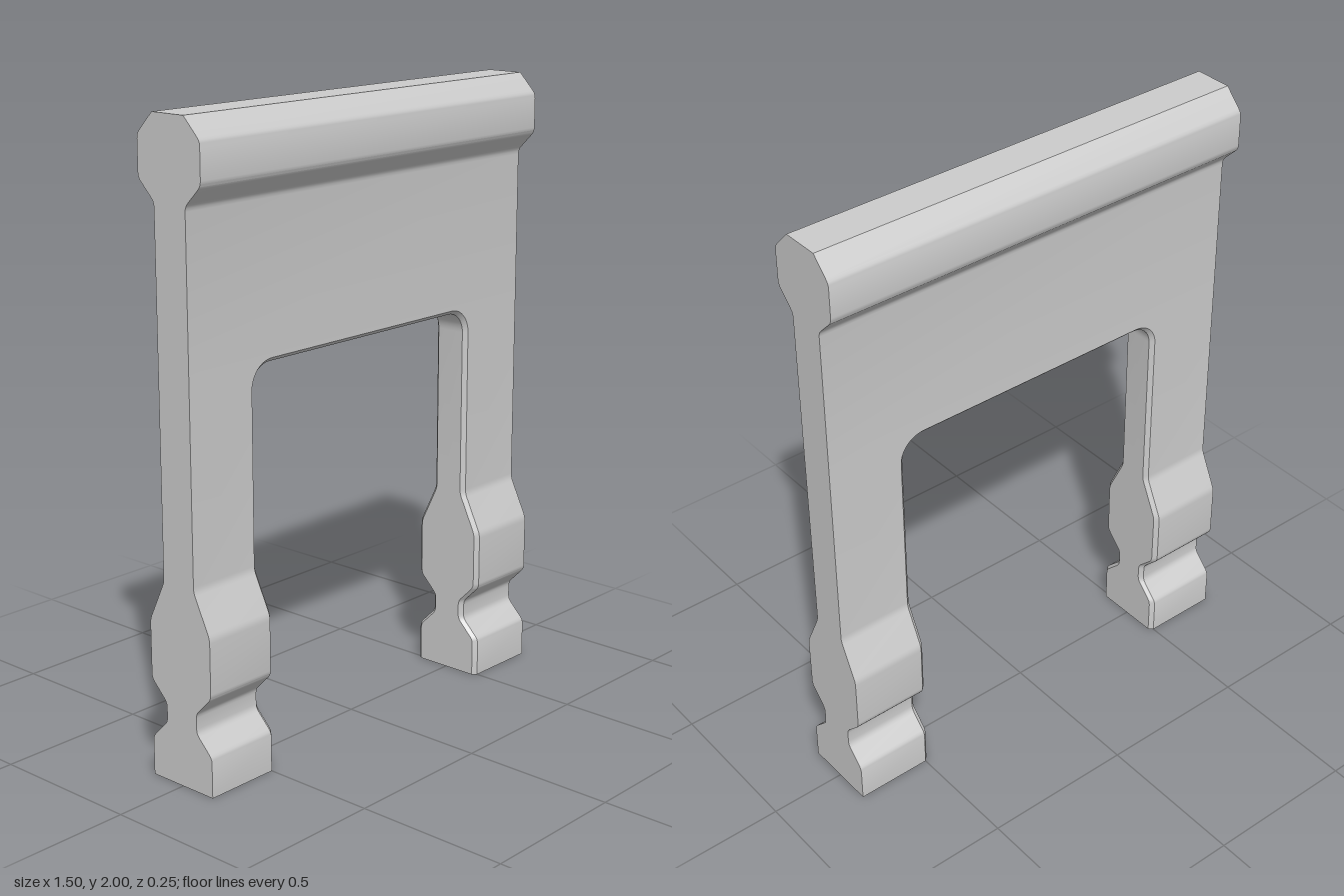
import * as THREE from 'three';
import { mergeGeometries, toCreasedNormals } from 'three/addons/utils/BufferGeometryUtils.js';

const HALF_WIDTH = 0.75, BEVEL = 0.013;
const OPEN_X = 0.5, OPEN_Y = 1.265, RADIUS = 0.085;

// Moulding profile: half depth and height, [z, y], from foot to top rail
const corners = [
  [0.125, 0], [0.125, 0.125], [0.0625, 0.188], [0.0625, 0.25], [0.125, 0.313],
  [0.125, 0.5], [0.0625, 0.63], [0.0625, 1.75], [0.125, 1.813], [0.125, 1.935], [0.0625, 2],
];

// Softens the inner corners of the profile with short curves
function softProfile(points, cut = 0.014, steps = 3) {
  const v = points.map(([z, y]) => new THREE.Vector2(z, y));
  const out = [v[0]];
  for (let i = 1; i < v.length - 1; i++) {
    const toward = (p) => v[i].clone().add(p.clone().sub(v[i]).setLength(cut));
    out.push(...new THREE.QuadraticBezierCurve(toward(v[i - 1]), v[i], toward(v[i + 1])).getPoints(steps));
  }
  out.push(v[v.length - 1]);
  return out;
}

// Surface through rows of points; rows run left to right and stack upward
function grid(rows) {
  const pos = [];
  for (let r = 0; r < rows.length - 1; r++) {
    for (let c = 0; c < rows[r].length - 1; c++) {
      const [a, b, d, e] = [rows[r][c], rows[r][c + 1], rows[r + 1][c + 1], rows[r + 1][c]];
      pos.push(...a, ...b, ...d, ...a, ...d, ...e);
    }
  }
  const g = new THREE.BufferGeometry();
  g.setAttribute('position', new THREE.Float32BufferAttribute(pos, 3));
  return g;
}

const mirrorRow = (row) => row.map(([x, y, z]) => [-x, y, z]).reverse();

// Adds the back half by turning the front half around
function wholeMesh(name, parts) {
  const front = mergeGeometries(parts);
  const back = front.clone().rotateY(Math.PI);
  const mesh = new THREE.Mesh(
    toCreasedNormals(mergeGeometries([front, back]), 0.5),
    new THREE.MeshStandardMaterial({ color: 0xcccccc }),
  );
  mesh.name = name;
  return mesh;
}

export function createModel() {
  const group = new THREE.Group();
  group.name = 'archedPanel';
  const profile = softProfile(corners);
  const springY = OPEN_Y - RADIUS, arcX = OPEN_X - RADIUS;
  const panelDepth = 0.0625;

  // Legs: bevelled inner edge, face and outer side in each row
  const legRow = (xIn, yIn, xFace, y, d) => [
    [xIn, yIn, 0], [xIn, yIn, d - BEVEL], [xFace, y, d], [HALF_WIDTH, y, d], [HALF_WIDTH, y, 0],
  ];
  const legRows = profile.filter((p) => p.y < springY)
    .map((p) => legRow(OPEN_X - BEVEL, p.y, OPEN_X, p.y, p.x));

  // Rounded upper corners of the opening
  const arcSteps = 10;
  for (let i = 0; i <= arcSteps; i++) {
    const a = (i / arcSteps) * Math.PI / 2, c = Math.cos(a), s = Math.sin(a), r = RADIUS - BEVEL;
    legRows.push(legRow(arcX + r * c, springY + r * s, arcX + RADIUS * c, springY + RADIUS * s, panelDepth));
  }
  const soleEdge = legRows[0].slice(1, 4);
  const sole = [soleEdge.map(([x, y]) => [x, y, 0]), soleEdge];
  const legParts = [legRows, sole];
  group.add(wholeMesh('legs', [
    ...legParts.map(grid),
    ...legParts.map((rows) => grid(rows.map(mirrorRow))),
  ]));

  // Header: panel, moulded top rail and both ends
  const w = HALF_WIDTH;
  const headerRow = (y, d) => [[-w, y, 0], [-w, y, d], [w, y, d], [w, y, 0]];
  const headerRows = [headerRow(OPEN_Y, panelDepth),
    ...profile.filter((p) => p.y > OPEN_Y).map((p) => headerRow(p.y, p.x))];
  const topZ = profile[profile.length - 1].x;
  const across = (x, y, z) => [[-x, y, z], [x, y, z]];
  const top = [across(w, 2, topZ), across(w, 2, 0)];

  // Underside of the header with its bevel
  const underside = [
    across(arcX, OPEN_Y - BEVEL, 0),
    across(arcX, OPEN_Y - BEVEL, panelDepth - BEVEL),
    across(arcX, OPEN_Y, panelDepth),
  ];
  group.add(wholeMesh('header', [headerRows, top, underside].map(grid)));
  return group;
}
